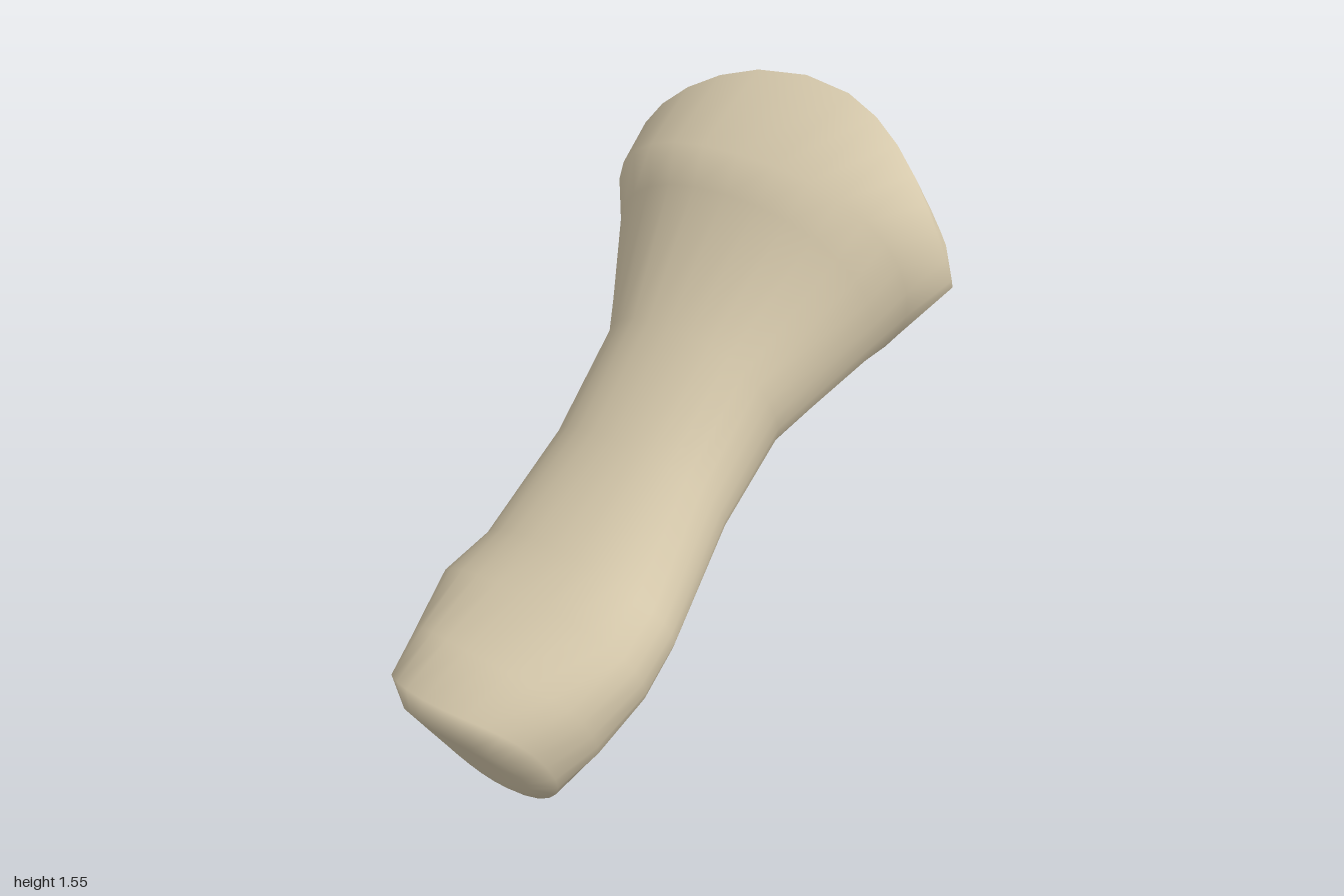
import * as THREE from 'three';
import { mergeVertices } from 'three/addons/utils/BufferGeometryUtils.js';

const SIDES = 28;

// One cross-section: top and bottom points [z, y], centre x and half width.
// sweep carries the sides along the shaft, lift raises them, skew leans the
// section sideways and a box value under 1 squares it off. k scales it inward.
function ring({ top, bottom, cx, w, sweep = 0, lift = 0, skew = 0, box = 0.93 }, k = 1) {
  const points = [];
  const mz = (top[0] + bottom[0]) / 2, my = (top[1] + bottom[1]) / 2;
  const soft = (v) => Math.sign(v) * Math.pow(Math.abs(v), box);
  for (let j = 0; j < SIDES; j++) {
    const a = (j / SIDES) * Math.PI * 2;
    const u = k * soft(Math.cos(a)), h = k * soft(Math.sin(a));
    const v = h + lift * u * u;
    const s = sweep * u * u;
    points.push(new THREE.Vector3(
      cx + w * u + skew * h,
      my + v * (top[1] - bottom[1]) / 2 + s * 0.53,
      mz + v * (top[0] - bottom[0]) / 2 - s * 0.85
    ));
  }
  return points;
}

// Skin a list of rings smoothly, leaving out collapsed triangles at the cap centres
function skin(rings) {
  const pos = [];
  const tri = (a, b, c) => {
    if (a.distanceTo(b) < 1e-6 || b.distanceTo(c) < 1e-6 || a.distanceTo(c) < 1e-6) return;
    for (const p of [a, b, c]) pos.push(p.x, p.y, p.z);
  };
  for (let i = 0; i < rings.length - 1; i++) {
    for (let j = 0; j < SIDES; j++) {
      const n = (j + 1) % SIDES;
      const a = rings[i][j], b = rings[i][n], c = rings[i + 1][j], d = rings[i + 1][n];
      tri(a, c, b);
      tri(b, c, d);
    }
  }
  const soup = new THREE.BufferGeometry();
  soup.setAttribute('position', new THREE.Float32BufferAttribute(pos, 3));
  const geo = mergeVertices(soup);
  geo.computeVertexNormals();
  return geo;
}

export function createModel() {
  const bone = new THREE.MeshStandardMaterial({ color: 0xd6c9ac });
  bone.name = 'bone';

  // End faces, just inside the rims
  const smallFace = { top: [1, 0.28], bottom: [0.84, 0.04], cx: 0.16, w: 0.19, sweep: 0.02, skew: -0.03 };
  const headFace = { top: [-0.7, 1.5], bottom: [-1, 1.05], cx: 0, w: 0.47, sweep: -0.18, lift: 0.08, box: 0.82 };

  const body = [
    // Rounded small end
    { top: [1, 0.35], bottom: [0.8, 0], cx: 0.15, w: 0.25, sweep: 0.05, skew: -0.04, box: 0.87 },
    { top: [0.85, 0.425], bottom: [0.67, 0.05], cx: 0.135, w: 0.31, sweep: 0.03, skew: -0.02 },
    { top: [0.67, 0.515], bottom: [0.49, 0.155], cx: 0.135, w: 0.355, lift: 0.15 },
    // Waisted shaft widening to the stepped collar
    { top: [0.53, 0.585], bottom: [0.35, 0.25], cx: 0.125, w: 0.33 },
    { top: [0.25, 0.78], bottom: [0.02, 0.45], cx: 0.08, w: 0.285 },
    { top: [0, 1.02], bottom: [-0.2, 0.6], cx: 0.065, w: 0.295 },
    { top: [-0.3, 1.3], bottom: [-0.48, 0.73], cx: 0.01, w: 0.46 },
    { top: [-0.34, 1.41], bottom: [-0.55, 0.76], cx: 0.02, w: 0.515, lift: 0.08 },
    // Rim of the broad head
    { top: [-0.67, 1.55], bottom: [-0.99, 0.96], cx: 0, w: 0.55, sweep: -0.25, lift: 0.12, box: 0.82 },
  ];

  const steps = [0, 0.35, 0.7, 1];
  const rings = [
    ...steps.map((k) => ring(smallFace, k)),
    ...body.map((s) => ring(s)),
    ...steps.slice().reverse().map((k) => ring(headFace, k)),
  ];

  const mesh = new THREE.Mesh(skin(rings), bone);
  mesh.name = 'boneShaft';
  const group = new THREE.Group();
  group.name = 'bone';
  group.add(mesh);
  return group;
}
